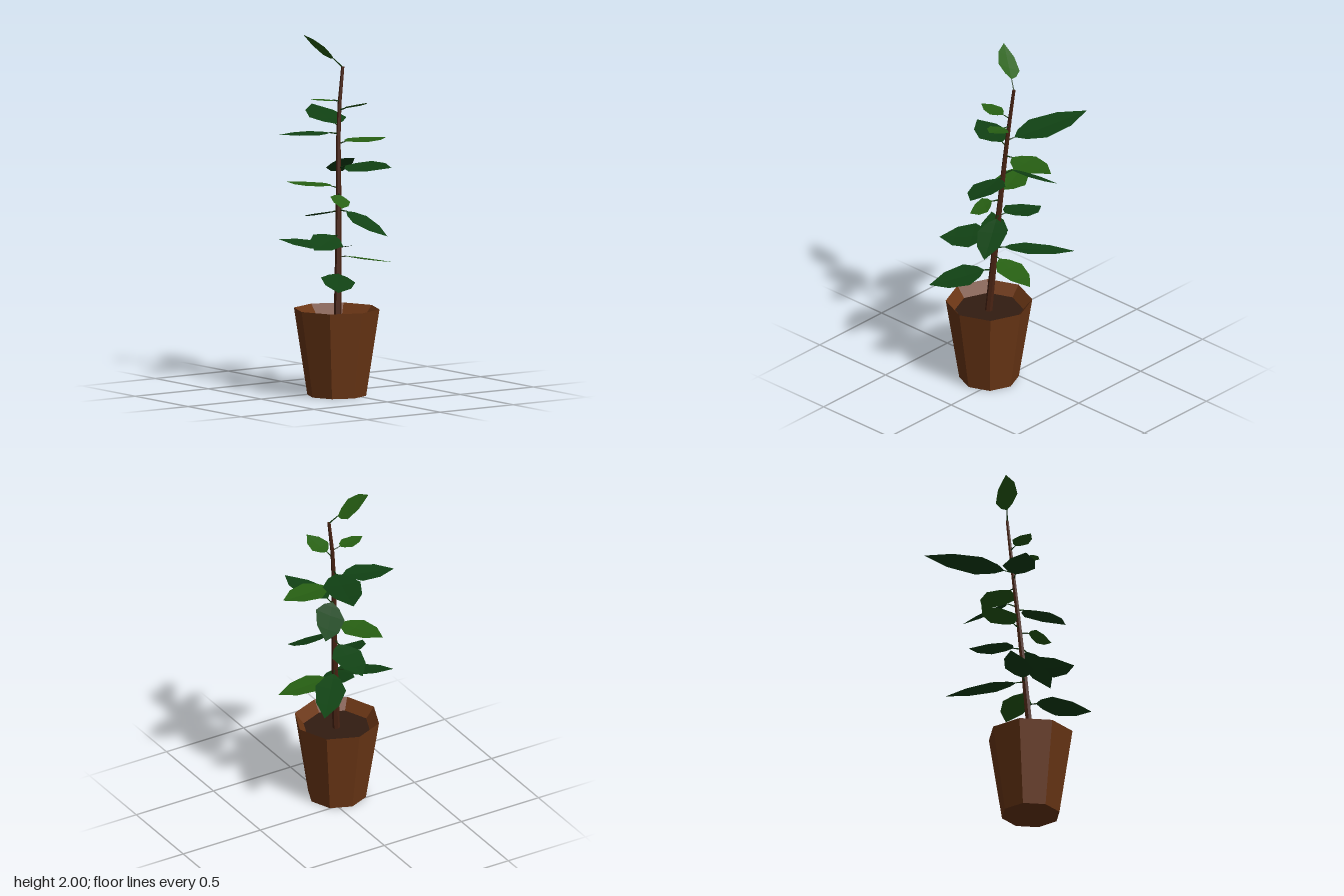
import * as THREE from 'three';

const mat = (color, side = THREE.FrontSide) =>
  new THREE.MeshStandardMaterial({ color, side, flatShading: true });
const potMat = mat(0x6b3615);
const soilMat = mat(0x321c11);
const stemMat = mat(0x4a2414);
const petioleMat = mat(0x14380f);
const darkLeaf = mat(0x114214, THREE.DoubleSide);
const lightLeaf = mat(0x276013, THREE.DoubleSide);

function addMesh(parent, name, geometry, material) {
  const mesh = new THREE.Mesh(geometry, material);
  mesh.name = name;
  parent.add(mesh);
  return mesh;
}

// Centre line of the leaning stem: [y, x, z]
const STEM = [
  [0.42, -0.068, 0.125], [0.8, -0.045, 0.1], [1.2, -0.02, 0.07],
  [1.5, -0.004, 0.043], [1.65, 0.013, 0.036], [1.82, 0.036, 0.031],
];
function stemAt(y) {
  let i = 0;
  while (i < STEM.length - 2 && y > STEM[i + 1][0]) i++;
  const [y0, x0, z0] = STEM[i], [y1, x1, z1] = STEM[i + 1];
  const t = (y - y0) / (y1 - y0);
  return new THREE.Vector3(x0 + (x1 - x0) * t, y, z0 + (z1 - z0) * t);
}

// Tapered cylinder whose rings are shifted onto the centre line
function stemGeometry() {
  const g = new THREE.CylinderGeometry(0.009, 0.021, 1.4, 6, 7);
  g.translate(0, 1.12, 0);
  const p = g.attributes.position;
  for (let i = 0; i < p.count; i++) {
    const c = stemAt(p.getY(i));
    p.setX(i, p.getX(i) + c.x);
    p.setZ(i, p.getZ(i) + c.z);
  }
  return g;
}

// Thin stalk between two points
function stalkGeometry(a, b) {
  const d = b.clone().sub(a);
  const g = new THREE.CylinderGeometry(0.003, 0.005, d.length(), 4);
  g.applyQuaternion(new THREE.Quaternion().setFromUnitVectors(
    new THREE.Vector3(0, 1, 0), d.clone().normalize()));
  const m = a.clone().add(b).multiplyScalar(0.5);
  return g.translate(m.x, m.y, m.z);
}

// Blade outline: [fraction of length, fraction of half width]
const OUTLINE = [[0, 0.04], [0.1, 0.52], [0.32, 1], [0.68, 0.76], [1, 0]];

// Folded blade lying in a plane with height slopes sx and sz
function bladeGeometry(base, tip, halfWidth, sx, sz) {
  const along = tip.clone().sub(base);
  const flat = Math.hypot(along.x, along.z);
  const px = along.z / flat, pz = -along.x / flat;
  const side = new THREE.Vector3(px, sx * px + sz * pz, pz).multiplyScalar(halfWidth);
  const pos = [], idx = [];
  OUTLINE.forEach(([t, w], i) => {
    for (const s of [-1, 0, 1]) {
      const v = base.clone().addScaledVector(along, t).addScaledVector(side, s * w);
      if (s === 0) v.y -= 0.06 * halfWidth * w;
      pos.push(v.x, v.y, v.z);
    }
    if (i === 0) return;
    for (const k of [0, 1]) {
      const a = (i - 1) * 3 + k, b = a + 1, c = a + 3, d = a + 4;
      idx.push(a, c, b, b, c, d);
    }
  });
  const g = new THREE.BufferGeometry();
  g.setAttribute('position', new THREE.Float32BufferAttribute(pos, 3));
  g.setIndex(idx);
  g.computeVertexNormals();
  return g;
}

// Leaves: [attachment height, tip x, y, z, half width, slope in x, slope in z, light]
const LEAVES = [
  [1.815, -0.15, 2.0, -0.085, 0.06, -0.95, 0, 1],
  [1.63, -0.195, 1.655, 0.05, 0.052, -0.1, 0, 1],
  [1.58, 0.05, 1.64, 0.245, 0.06, 0, 0.28, 1],
  [1.49, 0.157, 1.55, -0.43, 0.107, 0, -0.12, 0],
  [1.45, -0.33, 1.458, -0.06, 0.092, 0, 0, 0],
  [1.395, 0.328, 1.403, 0.04, 0.095, 0, 0, 1],
  [1.26, 0.08, 1.295, 0.43, 0.1, 0.2, 0, 0],
  [1.28, 0.18, 1.2, -0.17, 0.08, 0, 0.53, 0],
  [1.15, -0.15, 1.16, -0.24, 0.09, -0.02, 0, 1],
  [1.12, -0.113, 1.06, 0.228, 0.055, 0, -0.54, 1],
  [1.02, -0.015, 0.955, -0.245, 0.09, 0, 0.22, 0],
  [1.03, 0.11, 0.9, 0.35, 0.085, -0.15, -0.48, 0],
  [0.89, -0.32, 0.845, 0.255, 0.09, 0, -0.36, 0],
  [0.82, 0.235, 0.762, -0.25, 0.085, 0, 0.18, 0],
  [0.82, -0.285, 0.862, -0.13, 0.08, 0, -0.2, 0],
  [0.77, 0.284, 0.72, 0.165, 0.085, -0.18, 0, 1],
  [0.68, -0.262, 0.62, 0.4, 0.095, 0, -0.25, 0],
];

function addLeaf(parent, [y, tx, ty, tz, halfWidth, sx, sz, light]) {
  const leaf = new THREE.Group();
  leaf.name = 'leaf';
  parent.add(leaf);
  const root = stemAt(y), tip = new THREE.Vector3(tx, ty, tz);
  const base = root.clone().lerp(tip, 0.05 / Math.hypot(tx - root.x, tz - root.z));
  base.y = ty + sx * (base.x - tx) + sz * (base.z - tz);
  addMesh(leaf, 'leafStalk', stalkGeometry(root, base), petioleMat);
  addMesh(leaf, 'leafBlade', bladeGeometry(base, tip, halfWidth, sx, sz),
    light ? lightLeaf : darkLeaf);
}

export function createModel() {
  const model = new THREE.Group();
  model.name = 'pottedPlant';

  // Eight-sided pot with a rim sloping in to the soil
  const profile = [[0, 0], [0.165, 0], [0.24, 0.485], [0.19, 0.425]]
    .map(([r, y]) => new THREE.Vector2(r, y));
  addMesh(model, 'pot', new THREE.LatheGeometry(profile, 8), potMat)
    .position.set(-0.07, 0, 0.12);
  const soil = addMesh(model, 'soil', new THREE.CircleGeometry(0.19, 8), soilMat);
  soil.rotation.x = -Math.PI / 2;
  soil.position.set(-0.07, 0.425, 0.12);

  // Stem and foliage
  addMesh(model, 'stem', stemGeometry(), stemMat);
  const foliage = new THREE.Group();
  foliage.name = 'foliage';
  model.add(foliage);
  LEAVES.forEach((spec) => addLeaf(foliage, spec));

  return model;
}
